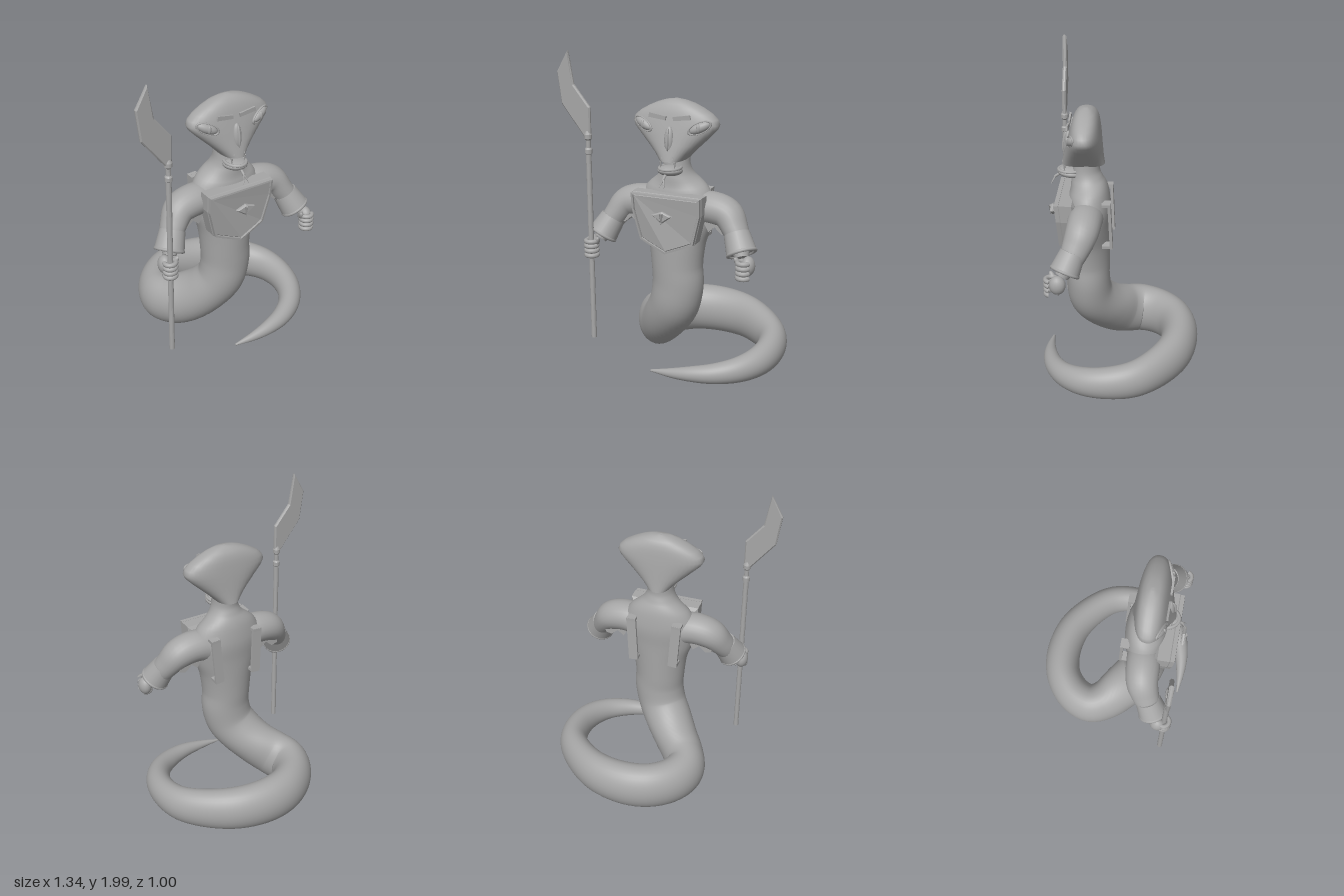
import * as THREE from 'three';

const V = (x, y, z) => new THREE.Vector3(x, y, z);
const grey = new THREE.MeshStandardMaterial({ color: 0xa6a6a6 });
grey.name = 'grey';

function mesh(name, geometry, parent, pos = [0, 0, 0], rot = [0, 0, 0], scale = [1, 1, 1]) {
  const m = new THREE.Mesh(geometry, grey);
  m.name = name;
  m.position.set(...pos);
  m.rotation.set(...rot);
  m.scale.set(...scale);
  parent.add(m);
  return m;
}

// Skin a list of equal rings, with crisp flat caps at both ends
function loft(rings) {
  const n = rings[0].length, pos = [], idx = [];
  rings.forEach(r => r.forEach(p => pos.push(p.x, p.y, p.z)));
  for (let i = 0; i < rings.length - 1; i++)
    for (let j = 0; j < n; j++) {
      const k = (j + 1) % n, a = i * n + j, b = i * n + k;
      idx.push(a, b, a + n, b, b + n, a + n);
    }
  [rings[0], rings[rings.length - 1]].forEach((r, end) => {
    const base = pos.length / 3, c = V(0, 0, 0);
    r.forEach(p => { pos.push(p.x, p.y, p.z); c.addScaledVector(p, 1 / n); });
    pos.push(c.x, c.y, c.z);
    for (let j = 0; j < n; j++) {
      const k = (j + 1) % n;
      if (end) idx.push(base + j, base + k, base + n);
      else idx.push(base + k, base + j, base + n);
    }
  });
  const g = new THREE.BufferGeometry();
  g.setAttribute('position', new THREE.Float32BufferAttribute(pos, 3));
  g.setIndex(idx);
  g.computeVertexNormals();
  return g;
}

// Elliptical tube through rows of [x, y, z, side radius, other radius]
function limb(rows, steps, sides, refAt) {
  const path = new THREE.CatmullRomCurve3(rows.map(r => V(r[0], r[1], r[2])));
  const size = new THREE.CatmullRomCurve3(rows.map(r => V(r[3], r[4], 0)), false, 'catmullrom', 0.5);
  const rings = [];
  for (let i = 0; i <= steps; i++) {
    const t = i / steps, c = path.getPoint(t), T = path.getTangent(t), s = size.getPoint(t);
    const u = T.clone().cross(refAt(t)).normalize(), v = T.clone().cross(u), ring = [];
    for (let j = 0; j < sides; j++) {
      const a = j / sides * Math.PI * 2;
      ring.push(c.clone().addScaledVector(u, s.x * Math.cos(a)).addScaledVector(v, s.y * Math.sin(a)));
    }
    rings.push(ring);
  }
  return loft(rings);
}

function plate(points, depth, bevel = 0) {
  const shape = new THREE.Shape(points.map(p => new THREE.Vector2(...p)));
  return new THREE.ExtrudeGeometry(shape, {
    depth, bevelEnabled: bevel > 0, bevelThickness: bevel, bevelSize: bevel, bevelOffset: -bevel, bevelSegments: 1
  });
}

// Cylinder running between two points
function rod(name, a, b, ra, rb, parent, sides = 20) {
  const m = mesh(name, new THREE.CylinderGeometry(rb, ra, a.distanceTo(b), sides), parent);
  m.position.copy(a).lerp(b, 0.5);
  m.quaternion.setFromUnitVectors(V(0, 1, 0), b.clone().sub(a).normalize());
  return m;
}

const CX = 0.02;

function makeBody(root) {
  const rows = [
    [CX, 1.42, 0.21, 0.08, 0.08], [CX, 1.33, 0.215, 0.085, 0.085], [CX, 1.27, 0.21, 0.115, 0.1],
    [CX, 1.2, 0.2, 0.195, 0.12], [CX, 1.1, 0.2, 0.24, 0.135], [CX, 0.98, 0.205, 0.225, 0.135],
    [CX, 0.85, 0.21, 0.183, 0.138], [CX, 0.7, 0.212, 0.163, 0.138], [0.025, 0.58, 0.212, 0.163, 0.138],
    [0.0, 0.45, 0.2, 0.16, 0.145], [-0.06, 0.35, 0.15, 0.155, 0.155], [-0.14, 0.26, 0.07, 0.145, 0.165],
    [-0.22, 0.2, -0.02, 0.135, 0.17], [-0.265, 0.178, -0.13, 0.13, 0.168], [-0.22, 0.175, -0.25, 0.125, 0.162],
    [-0.1, 0.178, -0.35, 0.12, 0.16], [0.06, 0.178, -0.385, 0.118, 0.157], [0.26, 0.175, -0.35, 0.112, 0.148],
    [0.43, 0.165, -0.24, 0.102, 0.135], [0.545, 0.155, -0.1, 0.093, 0.12], [0.578, 0.145, 0.06, 0.086, 0.105],
    [0.55, 0.132, 0.21, 0.08, 0.092], [0.47, 0.118, 0.33, 0.07, 0.078], [0.35, 0.105, 0.41, 0.06, 0.063],
    [0.22, 0.095, 0.45, 0.046, 0.048], [0.09, 0.082, 0.463, 0.028, 0.03], [-0.05, 0.07, 0.46, 0.006, 0.006]
  ];
  const back = V(0, 0, -1), up = V(0, 1, 0);
  const ref = t => back.clone().lerp(up, THREE.MathUtils.smoothstep(t * 26, 8.5, 13));
  mesh('body and tail', limb(rows, 130, 36, ref), root);
}

function makeHead(root) {
  const head = new THREE.Group();
  head.name = 'head';
  head.position.x = CX;
  root.add(head);
  // Hood levels: [y, half width, front z, back z]
  const levels = [
    [1.375, 0.075, 0.365, 0.1], [1.42, 0.117, 0.355, 0.107], [1.47, 0.17, 0.342, 0.112], [1.52, 0.222, 0.33, 0.117],
    [1.56, 0.26, 0.32, 0.121], [1.59, 0.274, 0.312, 0.125], [1.62, 0.262, 0.304, 0.129], [1.65, 0.228, 0.296, 0.134],
    [1.68, 0.175, 0.285, 0.142], [1.705, 0.12, 0.27, 0.156], [1.722, 0.065, 0.25, 0.178], [1.73, 0.01, 0.22, 0.2]
  ];
  const soft = (c, e) => Math.sign(c) * Math.abs(c) ** e;
  mesh('hood', loft(levels.map(([y, w, f, b]) => Array.from({ length: 40 }, (_, j) => {
    const a = j / 40 * Math.PI * 2;
    return V(w * soft(Math.cos(a), 0.85), y, (f + b) / 2 - (f - b) / 2 * soft(Math.sin(a), 0.8));
  }))), head);

  const ball = new THREE.SphereGeometry(1, 20, 14);
  for (const s of [-1, 1]) {
    mesh('eye', ball, head, [s * 0.18, 1.58, 0.285], [0, s * 0.35, s * 0.42], [0.068, 0.03, 0.03]);
    mesh('pupil', ball, head, [s * 0.178, 1.579, 0.309], [0, s * 0.3, 0], [0.012, 0.026, 0.012]);
    mesh('eye rim', new THREE.TorusGeometry(0.065, 0.007, 8, 28), head,
      [s * 0.18, 1.58, 0.294], [0, s * 0.35, s * 0.42], [1.08, 0.5, 1]);
    const brow = [[s * 0.025, 1.615], [s * 0.135, 1.628], [s * 0.128, 1.655], [s * 0.022, 1.638]];
    mesh('brow', plate(brow, 0.012), head, [0, 0, 0.31]);
    mesh('nostril', new THREE.ConeGeometry(0.011, 0.02, 3), head, [s * 0.036, 1.405, 0.35]);
    mesh('fang', new THREE.ConeGeometry(0.008, 0.05, 8), head, [s * 0.045, 1.35, 0.345], [Math.PI, 0, 0]);
  }
  mesh('forehead gem', ball, head, [0, 1.505, 0.328], [-0.12, 0, 0], [0.028, 0.077, 0.022]);
  mesh('gem ridge', ball, head, [0, 1.505, 0.342], [-0.12, 0, 0], [0.009, 0.068, 0.018]);

  // Lower jaw and forked tongue
  mesh('lower jaw', ball, head, [0, 1.315, 0.31], [-0.1, 0, 0], [0.074, 0.032, 0.085]);
  mesh('jaw lip', new THREE.TorusGeometry(0.062, 0.01, 8, 28), head, [0, 1.332, 0.31], [Math.PI / 2, 0, 0], [1, 1.2, 1]);
  rod('tongue', V(0, 1.335, 0.33), V(0, 1.28, 0.41), 0.011, 0.008, head, 8);
  for (const s of [-1, 1]) rod('tongue fork', V(0, 1.285, 0.405), V(s * 0.018, 1.235, 0.435), 0.007, 0.001, head, 8);
}

function makeArmour(root) {
  const armour = new THREE.Group();
  armour.name = 'armour';
  armour.position.x = CX;
  root.add(armour);
  const half = [[0.225, 1.18], [0.222, 1.07], [0.175, 0.885], [0.13, 0.865], [0, 0.815]];
  const outline = k => [...half, ...half.slice(0, -1).reverse().map(([x, y]) => [-x, y])]
    .map(([x, y]) => [x * k, 1.02 + (y - 1.02) * k]).reverse();
  // Breastplate leans forward at the top and wraps back at the sides
  const bend = g => {
    const p = g.attributes.position;
    for (let i = 0; i < p.count; i++)
      p.setZ(i, p.getZ(i) + (p.getY(i) - 0.82) * 0.1 - Math.abs(p.getX(i)) * 0.17);
    g.computeVertexNormals();
    return g;
  };
  mesh('breastplate', bend(plate(outline(1), 0.075, 0.02)), armour, [0, 0, 0.295]);
  const inner = new THREE.Path(outline(0.92).reverse().map(p => new THREE.Vector2(...p)));
  const rimShape = new THREE.Shape(outline(0.985).map(p => new THREE.Vector2(...p)));
  rimShape.holes.push(inner);
  mesh('breastplate rim', bend(new THREE.ExtrudeGeometry(rimShape, { depth: 0.025, bevelEnabled: false })),
    armour, [0, 0, 0.375]);

  const badge = [[-0.065, 1.068], [0, 1.02], [0.065, 1.068], [0, 1.093]];
  mesh('chest ornament', plate(badge, 0.01, 0.008), armour, [0, 0, 0.425]);
  mesh('chest ornament spike', new THREE.ConeGeometry(0.013, 0.075, 4), armour, [0, 1.045, 0.443], [Math.PI, 0, 0]);

  for (const s of [-1, 1]) {
    mesh('back strap', new THREE.BoxGeometry(0.06, 0.31, 0.018), armour, [s * 0.14, 1.02, 0.062], [0.04, 0, -s * 0.06]);
    for (const y of [0.875, 1.165])
      mesh('strap end', new THREE.BoxGeometry(0.06, 0.018, 0.055), armour,
        [s * (0.14 + (y - 1.02) * 0.06), y, 0.085], [0, 0, -s * 0.06]);
  }
}

function makeArm(s, root) {
  const arm = new THREE.Group();
  arm.name = s > 0 ? 'left arm' : 'right arm';
  arm.position.x = CX;
  root.add(arm);
  const P = (x, y, z) => V(s * x, y, z);
  const rows = [
    [0.1, 1.06, 0.2, 0.1, 0.1], [0.22, 1.085, 0.21, 0.1, 0.105], [0.33, 1.06, 0.22, 0.095, 0.1],
    [0.39, 0.99, 0.25, 0.078, 0.088], [0.435, 0.91, 0.29, 0.065, 0.07], [0.47, 0.84, 0.335, 0.04, 0.042]
  ].map(([x, ...r]) => [s * x, ...r]);
  mesh('sleeve', limb(rows, 28, 24, () => V(0, 0, -1)), arm);
  // Pointed sleeve trim under the upper arm
  const trim = [[0.21, 1.0], [0.235, 0.955], [0.275, 0.99], [0.32, 0.95], [0.36, 0.96], [0.36, 1.04], [0.21, 1.06]];
  mesh('sleeve trim', plate(trim.map(([x, y]) => [s * x, y]), 0.13), arm, [0, 0, 0.155]);

  rod('cuff', P(0.41, 0.965, 0.27), P(0.46, 0.865, 0.315), 0.078, 0.092, arm, 24);
  const rim = mesh('cuff rim', new THREE.TorusGeometry(0.084, 0.011, 8, 28), arm, [s * 0.46, 0.865, 0.315]);
  rim.quaternion.setFromUnitVectors(V(0, 0, 1), P(0.05, -0.1, 0.045).normalize());

  const ball = new THREE.SphereGeometry(1, 18, 12);
  mesh('palm', ball, arm, [s * 0.515, 0.805, 0.355], [0, 0, 0], [0.042, 0.06, 0.05]);
  for (let i = 0; i < 4; i++)
    mesh('finger', new THREE.TorusGeometry(0.034, 0.015, 8, 18, Math.PI * 1.6), arm,
      [s * 0.5, 0.835 - i * 0.03, 0.392], [Math.PI / 2, 0, s > 0 ? 0.3 : -1.2]);
  mesh('thumb', ball, arm, [s * 0.465, 0.83, 0.385], [0.5, 0, s * 0.4], [0.016, 0.042, 0.018]);
}

function makeStaff(root) {
  const staff = new THREE.Group();
  staff.name = 'staff';
  staff.position.set(-0.48, 0, 0.395);
  root.add(staff);
  const profile = [
    [0, 0.19], [0.017, 0.19], [0.017, 1.385], [0.023, 1.39], [0.023, 1.415], [0.015, 1.425], [0.015, 1.47],
    [0.024, 1.48], [0.024, 1.505], [0.012, 1.53], [0, 1.53]
  ].map(p => new THREE.Vector2(...p));
  const shaft = new THREE.LatheGeometry(profile, 16).toNonIndexed();
  shaft.computeVertexNormals();
  mesh('shaft', shaft, staff);
  const blade = [[0.02, 1.48], [0.02, 1.67], [-0.085, 1.8], [-0.12, 2.0], [-0.195, 1.87], [-0.17, 1.68], [-0.015, 1.48]];
  mesh('blade', plate(blade, 0.01, 0.008), staff, [0, 0, -0.005]);
}

export function createModel() {
  const root = new THREE.Group();
  root.name = 'serpent guard';
  makeBody(root);
  makeHead(root);
  makeArmour(root);
  makeArm(1, root);
  makeArm(-1, root);
  makeStaff(root);
  return root;
}
